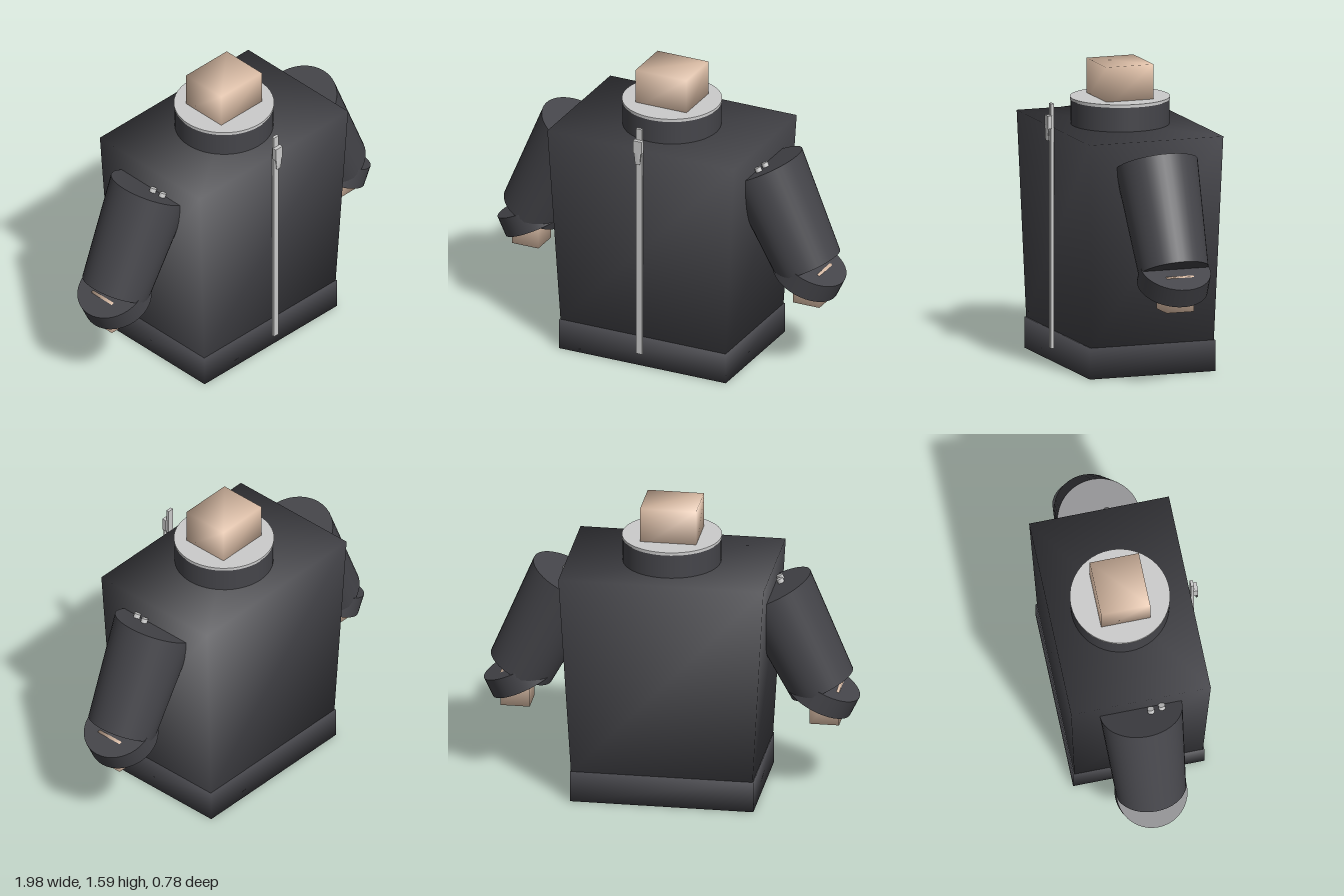
import * as THREE from 'three';
import { mergeVertices } from 'three/addons/utils/BufferGeometryUtils.js';

const Z = -0.018; // shared centre depth of the torso
const TILT = 0.453; // sleeve lean, about 26 degrees

const cloth = new THREE.MeshStandardMaterial({ color: 0x45454a });
const skin = new THREE.MeshStandardMaterial({ color: 0xe3c4ac });
const metal = new THREE.MeshStandardMaterial({ color: 0xcccccc });

// Box with shared corners (soft shading); the lower end can be narrowed
function softBox(w, h, d, lowerX = 1, lowerZ = 1) {
  const box = new THREE.BoxGeometry(w, h, d);
  const p = box.attributes.position;
  for (let i = 0; i < p.count; i++) {
    if (p.getY(i) < 0) {
      p.setX(i, p.getX(i) * lowerX);
      p.setZ(i, p.getZ(i) * lowerZ);
    }
  }
  box.deleteAttribute('normal');
  box.deleteAttribute('uv');
  const merged = mergeVertices(box);
  merged.computeVertexNormals();
  return merged;
}

function add(parent, name, geometry, material, x, y, z, tilt = 0) {
  const mesh = new THREE.Mesh(geometry, material);
  mesh.name = name;
  mesh.position.set(x, y, z);
  mesh.rotation.z = tilt;
  parent.add(mesh);
  return mesh;
}

// One arm; side is +1 for the model's left, -1 for its right
function makeArm(side) {
  const arm = new THREE.Group();
  arm.name = side > 0 ? 'leftArm' : 'rightArm';

  const sleeve = new THREE.CylinderGeometry(0.21, 0.178, 0.58, 40);
  sleeve.scale(1, 1, 1.04);
  add(arm, 'sleeve', sleeve, cloth, side * 0.668, 0.868, Z, side * TILT);

  // Cuff leans the opposite way to the sleeve
  add(arm, 'cuff', new THREE.CylinderGeometry(0.187, 0.187, 0.11, 40), cloth,
    side * 0.8, 0.573, Z, -side * TILT);

  add(arm, 'hand', softBox(0.155, 0.19, 0.152), skin, side * 0.8175, 0.5, Z);

  // Pair of studs on the shoulder end of the sleeve
  for (const [x, y, z] of [[0.567, 1.15, 0.03], [0.557, 1.145, 0.09]]) {
    add(arm, 'shoulderStud', new THREE.CylinderGeometry(0.018, 0.018, 0.03, 16), metal,
      side * x, y, z, side * TILT);
  }
  return arm;
}

export function createModel() {
  const model = new THREE.Group();
  model.name = 'jacketTorso';

  // Torso and hem band
  add(model, 'jacketBody', softBox(1.085, 1.095, 0.745, 0.885, 0.92), cloth, 0, 0.7075, Z);
  add(model, 'hemBand', softBox(0.97, 0.165, 0.7), cloth, 0, 0.0825, Z);

  // Collar with pale rim, and neck
  add(model, 'collar', new THREE.CylinderGeometry(0.258, 0.258, 0.15, 48), cloth, 0, 1.315, Z);
  add(model, 'collarRim', new THREE.CylinderGeometry(0.262, 0.262, 0.016, 48), metal, 0, 1.392, Z);
  add(model, 'neck', softBox(0.297, 0.22, 0.262), skin, 0, 1.475, Z);

  // Zip strip, slider and hanging pull
  add(model, 'zipStrip', new THREE.BoxGeometry(0.034, 1.3, 0.016), metal, 0, 0.735, 0.365);
  add(model, 'zipSlider', new THREE.BoxGeometry(0.05, 0.07, 0.024), metal, 0, 1.288, 0.382);
  add(model, 'zipPull', softBox(0.042, 0.08, 0.01, 0.6, 1), metal, 0, 1.23, 0.389);

  model.add(makeArm(1), makeArm(-1));
  return model;
}
